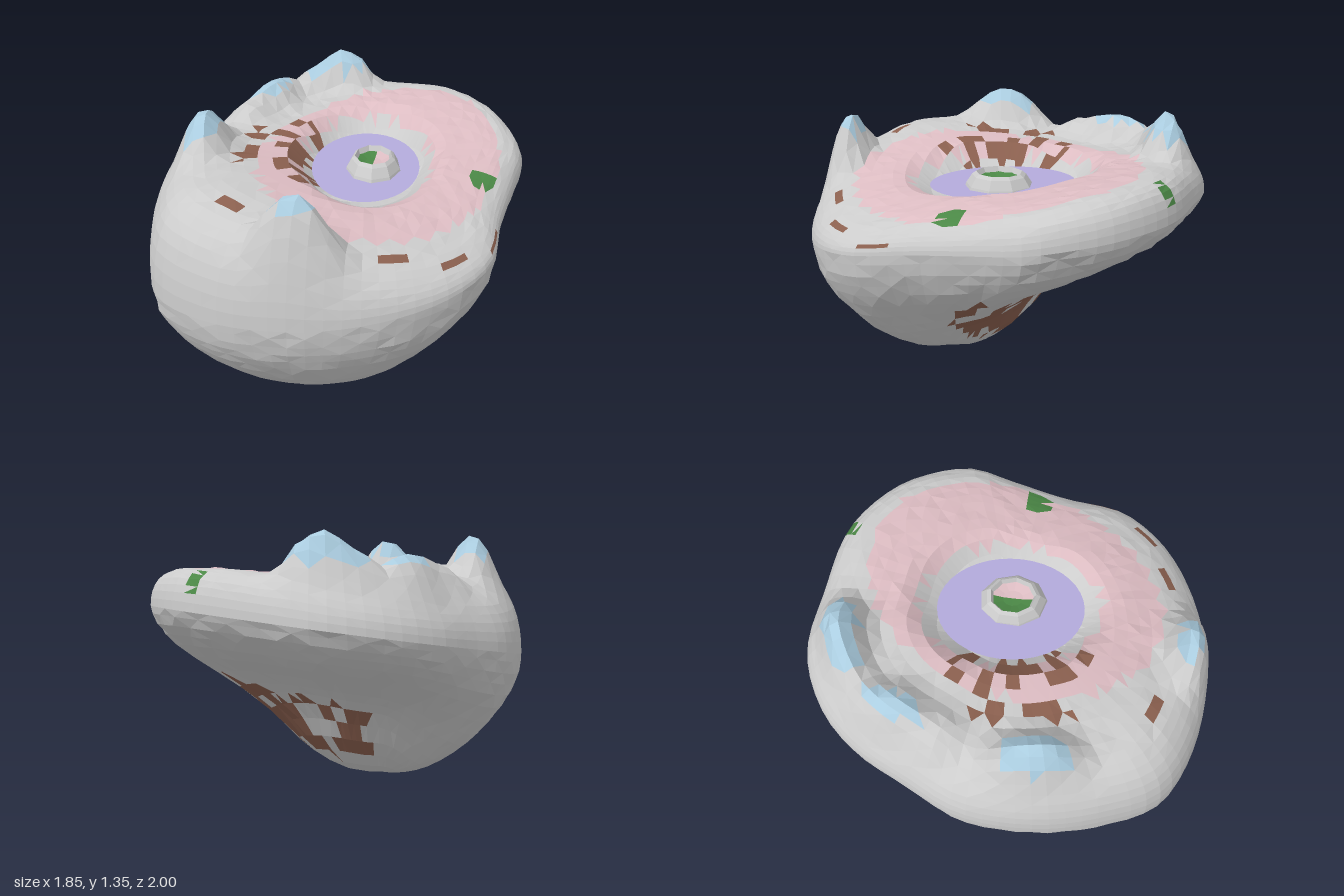
import * as THREE from 'three';

const SIDES = 76, UNDER = 16, TOP = 21;
const COLORS = { rock: 0xcccccc, pinkShore: 0xdcbcc2, bluePeaks: 0xabcde0, brownPatches: 0x8b604f, greenPatches: 0x4b8846 };

// plan outline (x, z), counter-clockwise from above
const OUTLINE = [[0.92, -0.2], [0.87, -0.41], [0.77, -0.6], [0.53, -0.82], [0.2, -0.93], [-0.1, -1], [-0.37, -0.92],
  [-0.57, -0.75], [-0.72, -0.52], [-0.87, -0.27], [-0.93, 0.1], [-0.89, 0.45], [-0.79, 0.73], [-0.5, 0.92],
  [-0.1, 1], [0.25, 0.96], [0.55, 0.82], [0.73, 0.61], [0.79, 0.3], [0.87, 0]];

// underside profiles (reach, height) from the lowest point to the rim
const ROUND = [[0, 0], [0.18, 0.02], [0.37, 0.09], [0.57, 0.23], [0.75, 0.42], [0.91, 0.66], [0.98, 0.84], [1, 1]];
const HOLLOW = [[0, 0], [0.17, 0.06], [0.33, 0.25], [0.45, 0.48], [0.59, 0.62], [0.84, 0.79], [0.96, 0.91], [1, 1]];

// peaks: x, z, height, spread in x, spread in z
const PEAKS = [[-0.12, 0.875, 0.31, 0.12, 0.075], [-0.68, 0.09, 0.21, 0.08, 0.14], [-0.54, -0.37, 0.1, 0.08, 0.1],
  [-0.43, -0.56, 0.15, 0.08, 0.1], [-0.33, -0.71, 0.07, 0.09, 0.07], [-0.19, -0.78, 0.13, 0.08, 0.07],
  [-0.03, -0.8, 0.19, 0.085, 0.075], [-0.45, 0.45, 0.02, 0.22, 0.22]];

const { lerp, smoothstep } = THREE.MathUtils;
const curve = pts => new THREE.SplineCurve(pts.map(p => new THREE.Vector2(...p)));
const hash = (a, b) => {
  const s = Math.sin(a * 127.1 + b * 311.7) * 43758.5453;
  return s - Math.floor(s);
};
const pool = (x, z) => Math.hypot((x - 0.12) / 0.27, z / 0.37);
const peaks = (x, z) => PEAKS.reduce((sum, [px, pz, h, sx, sz]) =>
  sum + h * Math.exp(-0.35 * Math.hypot((x - px) / sx, (z - pz) / sz) ** 2.7), 0);

// height of the upper ground, sunk around the pool
function ground(x, z) {
  const land = 1.1 - 0.04 * x - 0.065 * z - 0.2 * x * z;
  return lerp(0.97 - 0.04 * z, land, smoothstep(pool(x, z), 0.85, 1.45));
}

// share of the hollow profile: full at the back, fading to the sides
function hollowness({ x, z }) {
  const angle = THREE.MathUtils.radToDeg(Math.atan2(-z, x));
  return smoothstep(angle, -70, 75) * (1 - smoothstep(angle, 110, 175));
}

// rings of points from the lowest point, over the rim, to the pool centre
function makeRings() {
  const rim = new THREE.CatmullRomCurve3(OUTLINE.map(([x, z]) =>
    new THREE.Vector3(x, 0.83 + 0.11 * x - 0.125 * z, z)), true).getSpacedPoints(SIDES).slice(0, SIDES);
  const round = curve(ROUND), hollow = curve(HOLLOW);
  const rings = [];
  for (let i = 0; i <= UNDER; i++) {
    const a = round.getPoint(i / UNDER), b = hollow.getPoint(i / UNDER);
    rings.push(rim.map((r, j) => {
      const p = a.clone().lerp(b, hollowness(r));
      const reach = p.x * (i < UNDER ? 1 + 0.014 * (hash(i, j) - 0.5) : 1);
      return new THREE.Vector3(-0.15 + (r.x + 0.15) * reach, r.y * p.y, 0.3 + (r.z - 0.3) * reach);
    }));
  }
  for (let k = 1; k <= TOP; k++) {
    const u = Math.sin(Math.PI / 2 * (1 - k / TOP));
    rings.push(rim.map((r, j) => {
      const crown = Math.sqrt(1 - u ** (8 + 3 * Math.max(0, r.x - r.z)));
      const x = 0.12 + (r.x - 0.12) * u, z = r.z * u;
      const rough = u > 0.5 ? 0.008 * (hash(k + 50, j) - 0.5) : 0;
      return new THREE.Vector3(x, r.y + (ground(x, z) + peaks(x, z) + rough - r.y) * crown, z);
    }));
  }
  return rings;
}

// which coloured patch a face belongs to
function patchOf({ x, y, z }, isTop, chance) {
  if (!isTop) {
    const d = Math.hypot((z + 0.07) / 0.27, (y - 0.38) / 0.23);
    return x > -0.2 && d < 1 && chance > 0.2 + 0.4 * d * d * d ? 'brownPatches' : 'rock';
  }
  if (peaks(x, z) > 0.12 && y > 1.2) return 'bluePeaks';
  if (Math.hypot((x - 0.69) / 0.07, (z - 0.14) / 0.06) < 1 || Math.hypot(x - 0.48, z + 0.79) < 0.04) return 'greenPatches';
  const e = pool(x, z);
  if (e > 1.02 && Math.hypot((x + 0.28) / 0.23, (z - 0.06) / 0.38) < 1 && chance > 0.6) return 'brownPatches';
  const shore = Math.hypot((x - 0.2 + 0.15 * z) / 0.58, (z - 0.03) / 0.72);
  if (shore < 1 && e > 1.22) return 'pinkShore';
  return shore > 1.05 && z > 0 && chance > 0.985 ? 'brownPatches' : 'rock';
}

function makeIsland(group) {
  const rings = makeRings();
  const buckets = {};
  const centre = new THREE.Vector3();
  const addFace = (a, b, c, isTop, chance) => {
    if (a.distanceTo(b) < 1e-5 || b.distanceTo(c) < 1e-5 || c.distanceTo(a) < 1e-5) return;
    centre.copy(a).add(b).add(c).divideScalar(3);
    const name = patchOf(centre, isTop, chance);
    (buckets[name] ??= []).push(...a.toArray(), ...b.toArray(), ...c.toArray());
  };
  for (let i = 0; i < rings.length - 1; i++) {
    for (let j = 0; j < SIDES; j++) {
      const n = (j + 1) % SIDES, isTop = i > UNDER;
      const a = rings[i][j], b = rings[i][n], c = rings[i + 1][n], d = rings[i + 1][j];
      const chance = hash(i * 3 + 7, j >> 1);
      // alternate the diagonals for an irregular facet pattern
      if ((i + j) % 2) {
        addFace(a, b, c, isTop, chance);
        addFace(a, c, d, isTop, chance);
      } else {
        addFace(a, b, d, isTop, chance);
        addFace(b, c, d, isTop, chance);
      }
    }
  }
  for (const [name, positions] of Object.entries(buckets)) {
    const geo = new THREE.BufferGeometry();
    geo.setAttribute('position', new THREE.Float32BufferAttribute(positions, 3));
    geo.computeVertexNormals();
    addMesh(group, name, geo, COLORS[name]);
  }
}

function addMesh(group, name, geo, color, side = THREE.FrontSide) {
  const mesh = new THREE.Mesh(geo, new THREE.MeshStandardMaterial({ color, flatShading: true, side }));
  mesh.name = name;
  group.add(mesh);
  return mesh;
}

export function createModel() {
  const group = new THREE.Group();
  group.name = 'island';
  makeIsland(group);

  // pool surface, tipped slightly forward
  const water = addMesh(group, 'pool', new THREE.CircleGeometry(1, 40).rotateX(-Math.PI / 2), 0xb3aadb, THREE.DoubleSide);
  water.scale.set(0.27, 1, 0.365);
  water.position.set(0.12, 1.012, 0);
  water.rotation.x = 0.04;

  // small crater islet in the pool
  const islet = new THREE.Group();
  islet.name = 'islet';
  islet.position.set(0.16, 0, 0.01);
  islet.scale.set(0.82, 1, 1);
  const v = (r, y) => new THREE.Vector2(r, y);
  addMesh(islet, 'isletSlope', new THREE.LatheGeometry([v(0.18, 0.98), v(0.165, 1.02), v(0.135, 1.065), v(0.115, 1.08), v(0.1, 1.05)], 9), 0xcccccc);
  const floor = [v(0.105, 1.055), v(0.05, 1.04), v(0, 1.038)];
  addMesh(islet, 'craterMoss', new THREE.LatheGeometry(floor, 6, Math.PI * 0.95, Math.PI), COLORS.greenPatches, THREE.DoubleSide);
  addMesh(islet, 'craterFloor', new THREE.LatheGeometry(floor, 6, -Math.PI * 0.05, Math.PI), COLORS.pinkShore, THREE.DoubleSide);
  group.add(islet);
  return group;
}
